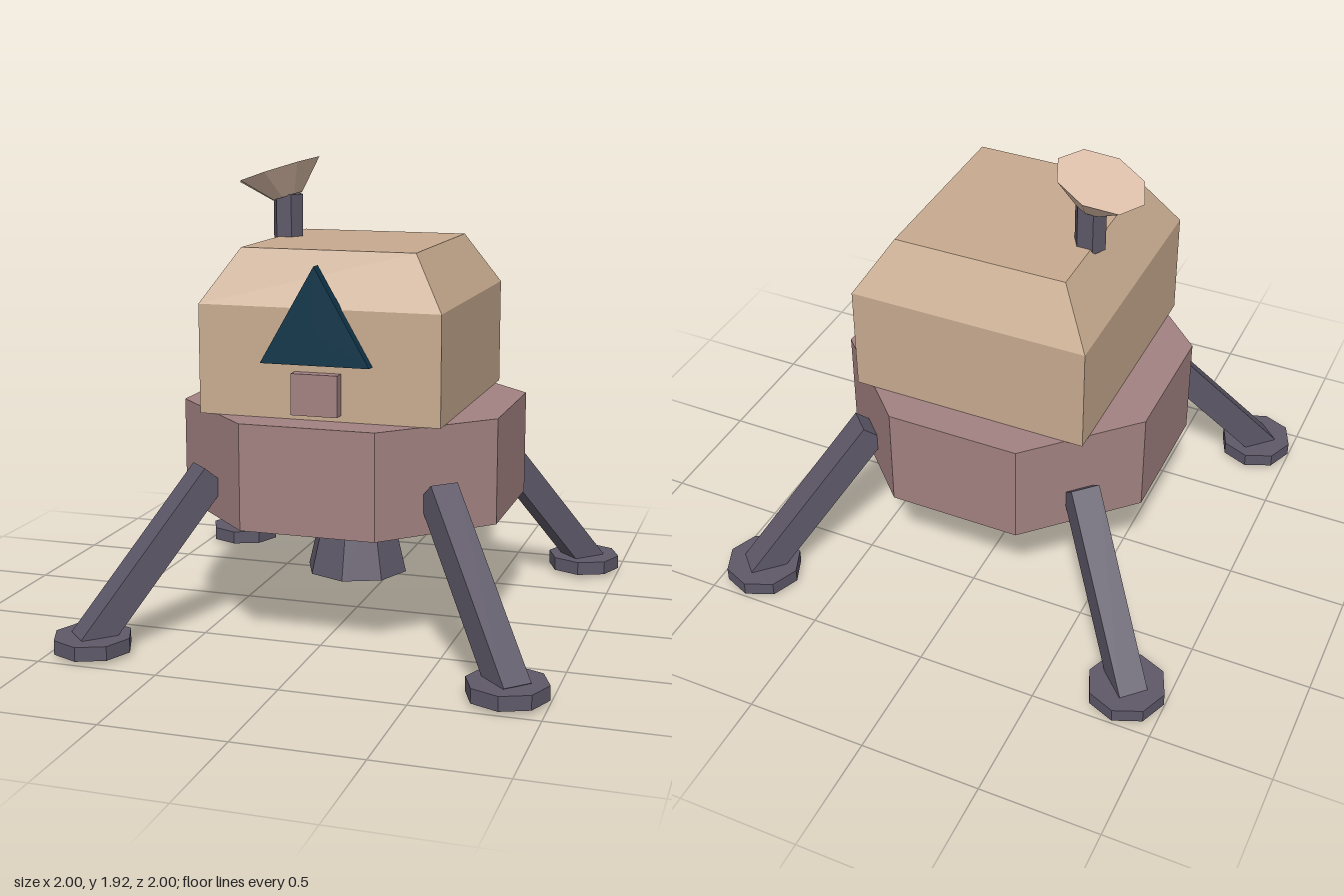
import * as THREE from 'three';

const paint = (name, color) => {
  const m = new THREE.MeshStandardMaterial({ color });
  m.name = name;
  return m;
};

// Faceted mesh: every face keeps its own normal
function facet(name, geometry, material, x = 0, y = 0, z = 0) {
  const g = geometry.toNonIndexed();
  g.computeVertexNormals();
  const mesh = new THREE.Mesh(g, material);
  mesh.name = name;
  mesh.position.set(x, y, z);
  return mesh;
}

// Box with a straight lower part and a bevelled upper part
function cabinGeometry(bottom, shoulder, top) {
  const g = new THREE.BoxGeometry(0.99, 2, 1.04, 1, 2, 1);
  const p = g.attributes.position;
  for (let i = 0; i < p.count; i++) {
    const row = Math.round(p.getY(i));
    p.setY(i, [bottom, shoulder, top][row + 1]);
    if (row === 1) {
      p.setX(i, Math.sign(p.getX(i)) * 0.36);
      p.setZ(i, Math.sign(p.getZ(i)) * 0.395);
    }
  }
  return g;
}

export function createModel() {
  const tan = paint('cabin tan', 0xc8ab90);
  const rose = paint('dusty rose', 0xa38282);
  const slate = paint('slate grey', 0x5e5868);
  const navy = paint('window navy', 0x0f364b);
  const cream = paint('dish cream', 0xe3c5ae);

  const model = new THREE.Group();
  model.name = 'lander';

  // Octagonal descent stage and engine nozzle
  const stage = facet('descentStage', new THREE.CylinderGeometry(0.72, 0.72, 0.43, 8), rose, 0, 0.715, 0);
  stage.rotation.y = Math.PI / 8;
  model.add(stage);
  model.add(facet('engineNozzle', new THREE.CylinderGeometry(0.14, 0.217, 0.32, 8), slate, 0, 0.34, 0));

  // Cabin with window and hatch on the front
  model.add(facet('cabin', cabinGeometry(0.93, 1.37, 1.585), tan));
  const pane = new THREE.CylinderGeometry(0.257, 0.257, 0.053, 3);
  pane.rotateX(-Math.PI / 2).rotateZ(0);
  // Turn the triangle so that its point is up
  pane.computeBoundingBox();
  if (pane.boundingBox.max.y < 0.2) pane.rotateZ(Math.PI);
  model.add(facet('window', pane, navy, 0, 1.283, 0.538));
  model.add(facet('hatch', new THREE.BoxGeometry(0.19, 0.165, 0.06), rose, 0, 1.038, 0.537));

  // Antenna: hexagonal mast and tilted dish
  const mast = facet('antennaMast', new THREE.CylinderGeometry(0.065, 0.065, 0.2, 6), slate, -0.335, 1.662, -0.095);
  mast.rotation.y = Math.PI / 2;
  model.add(mast);
  const dish = facet('antennaDish', new THREE.CylinderGeometry(0.187, 0.068, 0.118, 8), cream, -0.356, 1.807, -0.098);
  dish.rotation.z = 0.313;
  model.add(dish);

  // Four legs on the diagonals, each leaning outward to a foot pad
  for (let i = 0; i < 4; i++) {
    const leg = new THREE.Group();
    leg.name = 'leg' + (i + 1);
    const strut = facet('strut', new THREE.BoxGeometry(0.12, 0.83, 0.12), slate, 0.942, 0.355, 0);
    strut.rotation.z = 0.701;
    leg.add(strut);
    const pad = facet('footPad', new THREE.CylinderGeometry(0.16, 0.16, 0.058, 8), slate, 0.84 * Math.SQRT2, 0.044, 0);
    pad.rotation.y = Math.PI / 4;
    leg.add(pad);
    leg.rotation.y = Math.PI / 4 + (i * Math.PI) / 2;
    model.add(leg);
  }
  return model;
}
